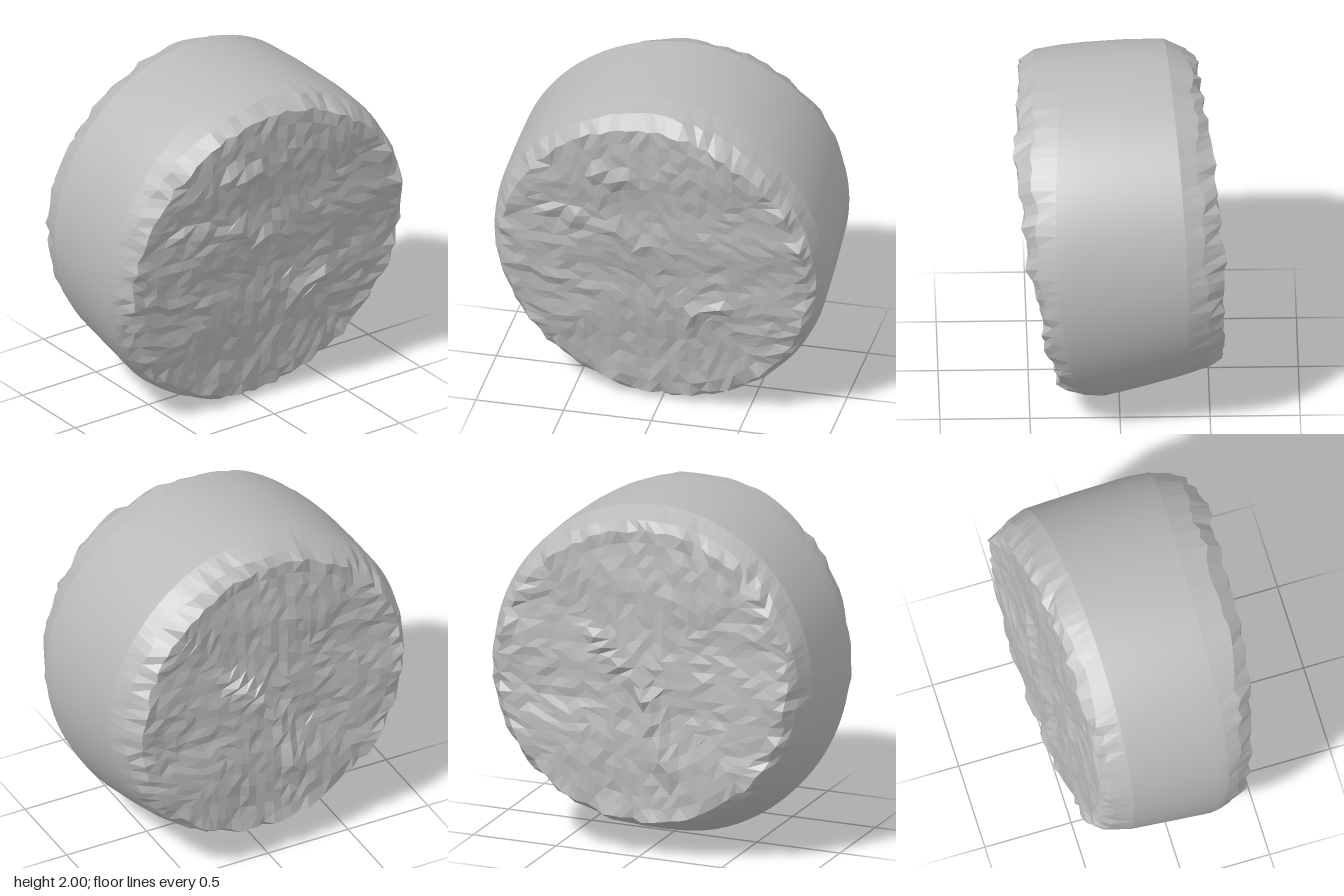
import * as THREE from 'three';

const SEG = 96;        // segments around the body
const GRID = SEG / 4;  // cells across each broken face

// Cross-sections from the -x end to the +x end:
// x at [top, bottom, front, back], then y top, y bottom, z front, z back
const RINGS = [
  [-0.455, -0.53, -0.43, -0.57, 1.89, 0.22, 0.87, -0.82], // left rim
  [-0.40, -0.46, -0.38, -0.48, 1.94, 0.18, 0.91, -0.89],  // left bevel
  [-0.28, -0.32, -0.27, -0.37, 1.995, 0.125, 0.945, -0.925],
  [-0.10, -0.14, -0.02, -0.08, 2.00, 0.06, 0.952, -0.945],
  [0.14, 0.03, 0.22, 0.25, 1.99, 0.003, 0.955, -0.96],
  [0.32, 0.13, 0.27, 0.34, 1.975, 0.006, 0.947, -0.952],
  [0.47, 0.21, 0.33, 0.42, 1.95, 0.02, 0.925, -0.92],     // right bevel
  [0.57, 0.26, 0.385, 0.465, 1.88, 0.05, 0.88, -0.875],   // right rim
];

// Raised cracks as z0, y0, z1, y1 on each face
const CRACKS = {
  left: [[-0.3, 1.3, 0.05, 0.95], [0.05, 0.95, 0.2, 0.45]],
  right: [[0.62, 1.26, 0, 1.1], [0.9, 0.88, 0.2, 0.72], [0.33, 1.57, 0.1, 1.55], [-0.2, 0.66, -0.35, 0.72]],
};

function hash(a, b, c) {
  const s = Math.sin(a * 127.1 + b * 311.7 + c * 74.7) * 43758.5453;
  return s - Math.floor(s);
}

// Point on a cross-section at angle phi (0 = top, quarter turn = front);
// r below 1 moves it in across the section
function ringPoint([xt, xb, xf, xk, yt, yb, zf, zk], phi, r = 1) {
  const c = r * Math.cos(phi), s = r * Math.sin(phi);
  return new THREE.Vector3(
    (xt + xb + xf + xk) / 4 + (xt - xb) / 2 * c + (xf - xk) / 2 * s + (xt + xb - xf - xk) / 4 * (c * c - s * s),
    (yt + yb) / 2 + (yt - yb) / 2 * c,
    (zf + zk) / 2 + (zf - zk) / 2 * s);
}

function segmentDistance(z, y, [z0, y0, z1, y1]) {
  const dz = z1 - z0, dy = y1 - y0;
  const t = THREE.MathUtils.clamp(((z - z0) * dz + (y - y0) * dy) / (dz * dz + dy * dy), 0, 1);
  return Math.hypot(z - z0 - t * dz, y - y0 - t * dy);
}

// Point on a rough broken face; r = 1 is the jagged rim
function facePoint(side, r, phi) {
  const out = side === 'right' ? 1 : -1;
  const ky = Math.round(r * Math.cos(phi) * 200 + 0.137);
  const kz = Math.round(r * Math.sin(phi) * 200 + 0.137);
  const h1 = hash(ky, kz, out), h2 = hash(kz, ky, out + 5);
  const p = ringPoint(RINGS[out > 0 ? RINGS.length - 1 : 0], phi, r);
  const rim = r > 0.99;
  if (rim) {
    const k = 1 + (h2 - 0.5) * 0.03;
    p.y = 1.02 + (p.y - 1.02) * k;
    p.z *= k;
  }
  let bump = (h1 - 0.5) * (rim ? 0.04 : 0.016);
  bump += 0.006 * Math.sin(p.y * 13 + p.z * 2) + 0.006 * Math.sin(p.z * 7 - p.y * 4);
  if (out > 0) bump += 0.02 * (1 - r * r);
  if (CRACKS[side].some((c) => segmentDistance(p.z, p.y, c) < 0.036)) bump += 0.03 * (0.2 + h2);
  p.x += out * bump;
  return p;
}

function buildGeometry(points, index) {
  const g = new THREE.BufferGeometry().setFromPoints(points);
  g.setIndex(index);
  return g;
}

// Closed skin through rings of SEG points, ordered along +x
function loft(rows) {
  const index = [];
  for (let i = 0; i < rows.length - 1; i++) {
    for (let j = 0; j < SEG; j++) {
      const n = (j + 1) % SEG;
      const a = i * SEG + j, b = a + SEG, c = i * SEG + n, d = c + SEG;
      index.push(a, c, b, b, c, d);
    }
  }
  return buildGeometry(rows.flat(), index);
}

// Square grid mapped onto the round face
function faceGeometry(side) {
  const points = [], index = [];
  for (let i = 0; i <= GRID; i++) {
    for (let j = 0; j <= GRID; j++) {
      const y = (2 * i) / GRID - 1, z = (2 * j) / GRID - 1;
      let r = 0, phi = 0;
      if (y || z) {
        if (Math.abs(y) >= Math.abs(z)) { r = y; phi = Math.PI / 4 * (z / y); }
        else { r = z; phi = Math.PI / 2 - Math.PI / 4 * (y / z); }
        if (r < 0) { r = -r; phi += Math.PI; }
      }
      points.push(facePoint(side, r, phi));
    }
  }
  for (let i = 0; i < GRID; i++) {
    for (let j = 0; j < GRID; j++) {
      const a = i * (GRID + 1) + j, z = a + 1, y = a + GRID + 1, d = y + 1;
      const tris = hash(i, j, 3) > 0.5 ? [a, y, z, z, y, d] : [a, y, d, a, d, z];
      if (side === 'left') tris.reverse();
      index.push(...tris);
    }
  }
  return buildGeometry(points, index);
}

export function createModel() {
  const model = new THREE.Group();
  const stone = new THREE.MeshStandardMaterial({ color: 0xbababa });
  stone.name = 'grey stone';

  function add(name, geometry, faceted) {
    const g = faceted ? geometry.toNonIndexed() : geometry;
    g.computeVertexNormals();
    const mesh = new THREE.Mesh(g, stone);
    mesh.name = name;
    model.add(mesh);
  }

  const angles = Array.from({ length: SEG }, (_, j) => (2 * Math.PI * j) / SEG);
  const rows = RINGS.slice(2, -2).map((ring) => angles.map((phi) => ringPoint(ring, phi)));
  const rim = (side) => angles.map((phi) => facePoint(side, 1, phi));

  // Bevel ring with vertices shifted along x for a chipped edge
  const chipped = (ring) => angles.map((phi, j) => {
    const p = ringPoint(ring, phi);
    p.x += (hash(j, 7, 2) - 0.5) * 0.05;
    return p;
  });

  // Smooth rounded body
  add('roundBody', loft(rows), false);

  // Ragged bevels joining the body to the broken faces
  add('leftBevel', loft([rim('left'), chipped(RINGS[1]), rows[0]]), true);
  add('rightBevel', loft([rows[rows.length - 1], chipped(RINGS[RINGS.length - 2]), rim('right')]), true);

  // Rough broken faces
  add('leftBrokenFace', faceGeometry('left'), true);
  add('rightBrokenFace', faceGeometry('right'), true);

  return model;
}
